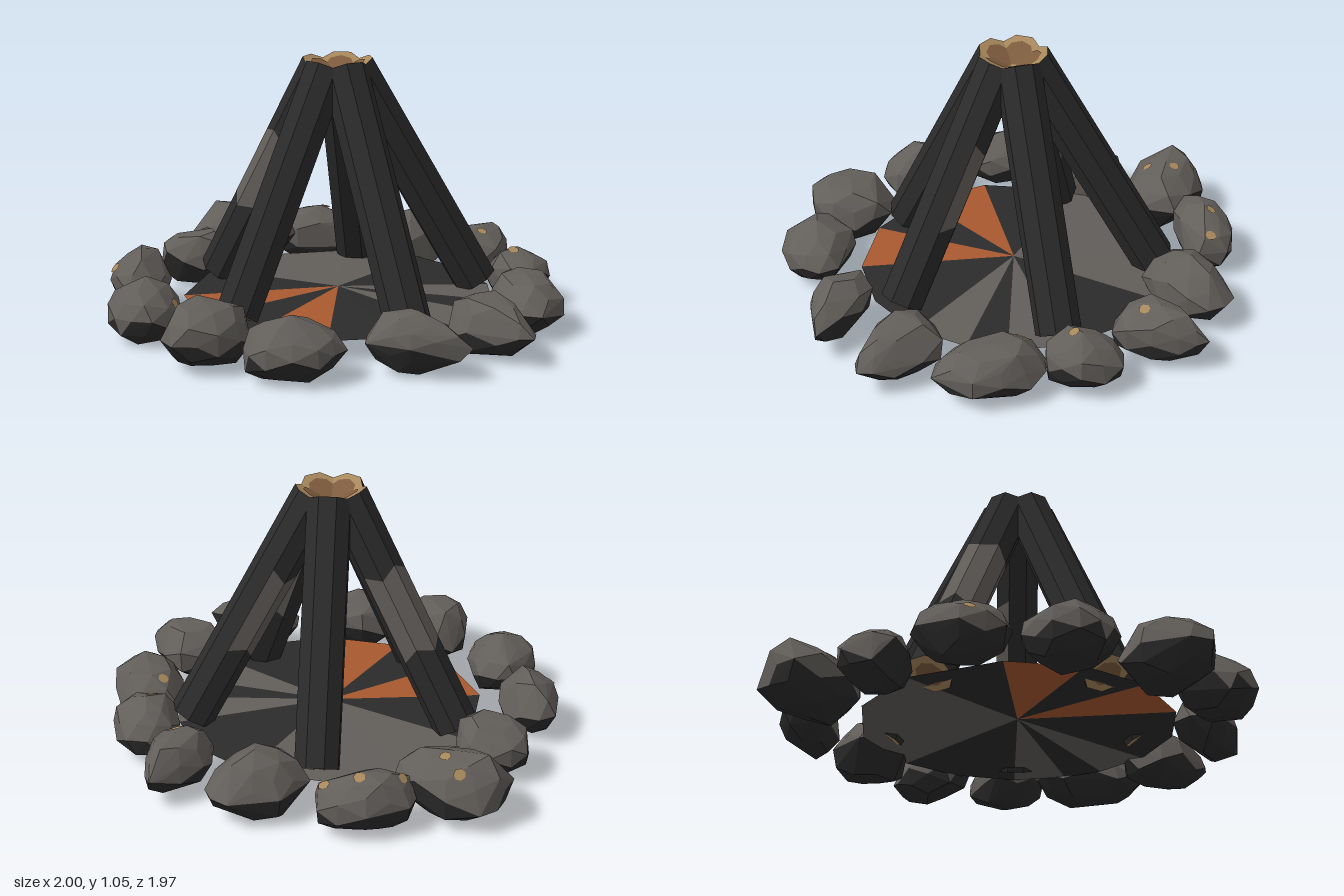
import * as THREE from 'three';
import { mergeVertices } from 'three/addons/utils/BufferGeometryUtils.js';
import { ConvexGeometry } from 'three/addons/geometries/ConvexGeometry.js';

const paint = (name, color) => new THREE.MeshStandardMaterial({ name, color, side: THREE.DoubleSide });
const char = paint('charredWood', 0x2b2b2b);
const ash = paint('ashGrey', 0x625e5a);
const ember = paint('emberOrange', 0xa9592f);
const bark = paint('paleWood', 0xa8885c);
const core = paint('brownWood', 0x7e5c3e);

let seed = 7;
const random = () => (seed = (seed * 16807) % 2147483647) / 2147483647;
const deg = THREE.MathUtils.degToRad;

function part(parent, name, geometry, material) {
  const mesh = new THREE.Mesh(geometry, material);
  mesh.name = name;
  parent.add(mesh);
  return mesh;
}

// Eight-sided leaning log; ashSides lists the sides with a worn grey band
function makeLog(azimuth, reach, ashSides) {
  const radius = 0.091, sides = 8;
  const top = new THREE.Vector3(0, 1.017, 0.062), foot = new THREE.Vector3(0, 0.12, reach);
  const length = top.distanceTo(foot);
  let geo = new THREE.CylinderGeometry(radius, radius, length, sides, 3, false, -Math.PI / sides);
  geo.clearGroups();
  for (let s = 0; s < sides; s++)
    for (let row = 0; row < 3; row++)
      geo.addGroup((s * 3 + row) * 6, 6, row === 1 && ashSides.includes(s) ? 1 : 0);
  geo.addGroup(sides * 18, sides * 6, 2);
  // Ragged ends on the worn band
  const pos = geo.attributes.position;
  for (let i = 0; i < (sides + 1) * 4; i++)
    if (Math.abs(pos.getY(i)) < length * 0.3) pos.setY(i, pos.getY(i) + (i % 2 ? 0.025 : -0.01));
  geo = geo.toNonIndexed();
  geo.computeVertexNormals();

  const holder = new THREE.Group();
  holder.name = 'log';
  holder.rotation.y = deg(azimuth);
  holder.position.z = -0.012;
  const tilted = new THREE.Group();
  tilted.position.copy(top).add(foot).multiplyScalar(0.5);
  tilted.rotation.x = -Math.atan2(foot.z - top.z, top.y - foot.y);
  holder.add(tilted);
  part(tilted, 'logBody', geo, [char, ash, bark]);
  for (const end of [1, -1]) {
    const heart = part(tilted, 'logHeartwood', new THREE.CircleGeometry(0.058, sides), core);
    heart.position.y = end * (length / 2 + 0.003);
    heart.rotation.x = -end * Math.PI / 2;
  }
  return holder;
}

// Chunky stone: jittered ellipsoid, turned, tapered, hulled and fitted to its footprint,
// with the faces that turn downwards blackened
function makeStoneGeometry([x0, x1, z0, z1, height, yaw, ratio, taper]) {
  const ball = new THREE.IcosahedronGeometry(1, 1);
  ball.deleteAttribute('normal');
  ball.deleteAttribute('uv');
  const pos = mergeVertices(ball).attributes.position;
  const c = Math.cos(deg(yaw)), s = Math.sin(deg(yaw));
  const points = [];
  for (let i = 0; i < pos.count; i++) {
    const v = new THREE.Vector3().fromBufferAttribute(pos, i).multiplyScalar(0.8 + 0.26 * random());
    const w = v.z * ratio * (1 - taper * v.x);
    const y = v.y * (1 - taper * 0.6 * v.x);
    points.push(new THREE.Vector3(v.x * c - w * s, y, v.x * s + w * c));
  }
  const box = new THREE.Box3().setFromPoints(points);
  const size = box.getSize(new THREE.Vector3());
  for (const p of points) {
    p.sub(box.min).divide(size);
    p.set(x0 + p.x * (x1 - x0), 0.005 + p.y * (height - 0.005), z0 + p.z * (z1 - z0));
  }
  const geo = new ConvexGeometry(points);
  const normal = geo.attributes.normal;
  for (let i = 0; i < normal.count; i += 3) geo.addGroup(i, 3, normal.getY(i) < -0.1 ? 1 : 0);
  return geo;
}

export function createModel() {
  const model = new THREE.Group();
  model.name = 'campfire';

  // Shallow fire bed made of coloured wedges, angles measured from the front
  const bed = new THREE.Group();
  bed.name = 'fireBed';
  model.add(bed);
  const wedges = [
    [-13, 13, char], [13, 41, ember], [41, 89, char], [89, 110, ash], [110, 125, char],
    [125, 145, ash], [145, 191, char], [191, 283, ash], [283, 319, char], [319, 347, ember],
  ];
  for (const [a, b, material] of wedges) {
    const steps = Math.max(1, Math.round((b - a) / 28));
    const geo = new THREE.ConeGeometry(0.625, 0.025, steps, 1, true, deg(a), deg(b - a)).toNonIndexed();
    geo.computeVertexNormals();
    part(bed, 'bedWedge', geo, material).position.set(0, 0.105, -0.018);
  }

  // Five logs leaning together, three of them worn: azimuth, foot distance, worn sides
  const logs = [
    [0, 0.55, []], [74, 0.545, [2, 3]], [145, 0.575, [2, 3]],
    [216, 0.575, []], [287, 0.545, [0, 1, 2, 3, 6, 7]],
  ];
  for (const log of logs) model.add(makeLog(...log));

  // Ring of stones: x range, z range, height, yaw, width ratio, taper
  const stones = [
    [-0.07, 0.26, 0.59, 0.98, 0.25, 80, 0.85, 0.05],
    [0.26, 0.6, 0.49, 0.83, 0.25, -45, 0.8, 0.1],
    [0.54, 0.93, 0.2, 0.46, 0.25, -22, 0.6, 0.5],
    [0.58, 1.0, -0.2, 0.08, 0.23, 5, 0.65, 0.4],
    [0.46, 0.85, -0.59, -0.23, 0.22, 35, 0.7, 0.05],
    [0.27, 0.56, -0.81, -0.52, 0.24, 50, 0.8, 0],
    [-0.02, 0.24, -0.99, -0.62, 0.25, -105, 0.6, 0.4],
    [-0.4, -0.1, -0.91, -0.52, 0.27, -78, 0.75, 0.2],
    [-0.79, -0.46, -0.71, -0.37, 0.25, -45, 0.6, 0.1],
    [-1.0, -0.58, -0.4, -0.07, 0.28, -25, 0.7, 0],
    [-0.89, -0.58, -0.03, 0.26, 0.24, -30, 0.85, 0],
    [-0.79, -0.46, 0.35, 0.65, 0.26, 40, 0.7, 0.1],
    [-0.46, -0.15, 0.55, 0.89, 0.25, 60, 0.8, 0],
  ];
  const ring = new THREE.Group();
  ring.name = 'stoneRing';
  model.add(ring);
  const stoneMeshes = stones.map((s) => part(ring, 'stone', makeStoneGeometry(s), [ash, char]));

  // Small pale flecks lying on the stones, placed by their x and z
  const flecks = [
    [-0.89, -0.31], [-0.8, -0.28], [-0.76, -0.17], [-0.63, -0.57], [-0.72, -0.43], [-0.52, -0.64],
    [0.14, -0.75], [0.42, -0.62], [0.53, -0.45], [-0.66, 0.6], [-0.2, 0.68], [-0.02, 0.88],
  ];
  const ray = new THREE.Raycaster();
  const front = new THREE.Vector3(0, 0, 1);
  for (const [x, z] of flecks) {
    ray.set(new THREE.Vector3(x, 1, z), new THREE.Vector3(0, -1, 0));
    const hit = ray.intersectObjects(stoneMeshes)[0];
    if (!hit) continue;
    const fleck = part(ring, 'stoneFleck', new THREE.CircleGeometry(0.023, 7), bark);
    fleck.position.copy(hit.point).addScaledVector(hit.face.normal, 0.004);
    fleck.quaternion.setFromUnitVectors(front, hit.face.normal);
  }
  return model;
}
